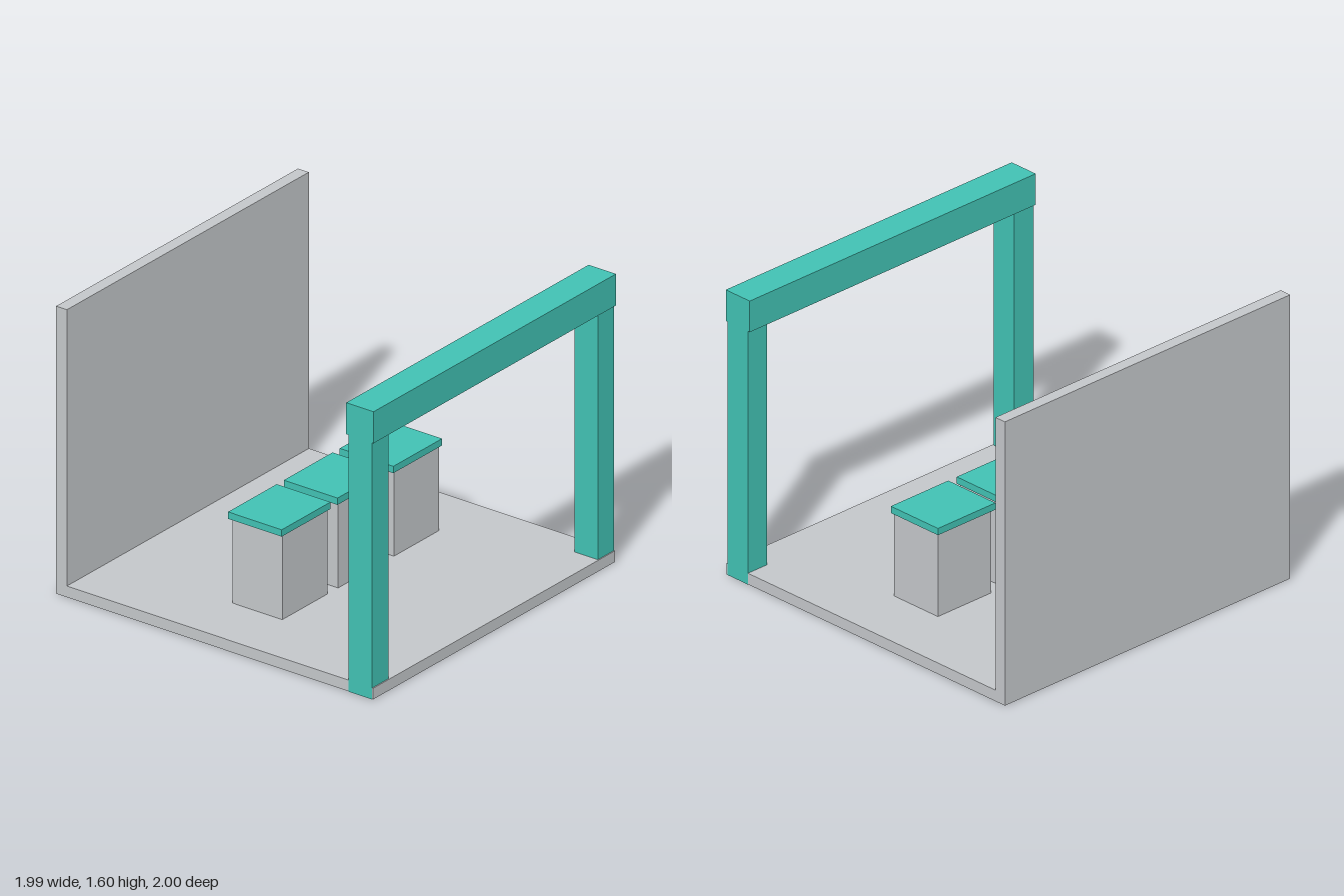
import * as THREE from 'three';

const teal = new THREE.MeshStandardMaterial({ color: 0x41c1b3 });
teal.name = 'teal';
const grey = new THREE.MeshStandardMaterial({ color: 0xc3c6c9 });
grey.name = 'light grey';

// Box given by its lower and upper limits on each axis
function box(name, material, [x0, x1], [y0, y1], [z0, z1]) {
  const mesh = new THREE.Mesh(new THREE.BoxGeometry(x1 - x0, y1 - y0, z1 - z0), material);
  mesh.position.set((x0 + x1) / 2, (y0 + y1) / 2, (z0 + z1) / 2);
  mesh.name = name;
  return mesh;
}

export function createModel() {
  const model = new THREE.Group();
  model.name = 'exhibitionBooth';

  // Floor slab and back wall
  model.add(box('floor', grey, [-0.994, 0.994], [0.001, 0.063], [-1, 0.996]));
  model.add(box('backWall', grey, [-0.994, 0.994], [0.063, 1.597], [-1, -0.932]));

  // Front gateway: two posts through the floor carrying a beam
  const gateway = new THREE.Group();
  gateway.name = 'gateway';
  for (const [name, limits] of [['rightPost', [-0.995, -0.86]], ['leftPost', [0.86, 0.995]]]) {
    gateway.add(box(name, teal, limits, [0, 1.425], [0.843, 0.99]));
  }
  gateway.add(box('beam', teal, [-0.996, 0.996], [1.425, 1.6], [0.828, 1]));
  model.add(gateway);

  // Row of three counters with overhanging tops
  for (const x of [-0.46, -0.002, 0.457]) {
    const counter = new THREE.Group();
    counter.name = 'counter';
    counter.add(box('counterBase', grey, [-0.185, 0.185], [0.063, 0.532], [-0.157, 0.157]));
    counter.add(box('counterTop', teal, [-0.2, 0.2], [0.532, 0.57], [-0.173, 0.165]));
    counter.position.x = x;
    model.add(counter);
  }
  return model;
}
